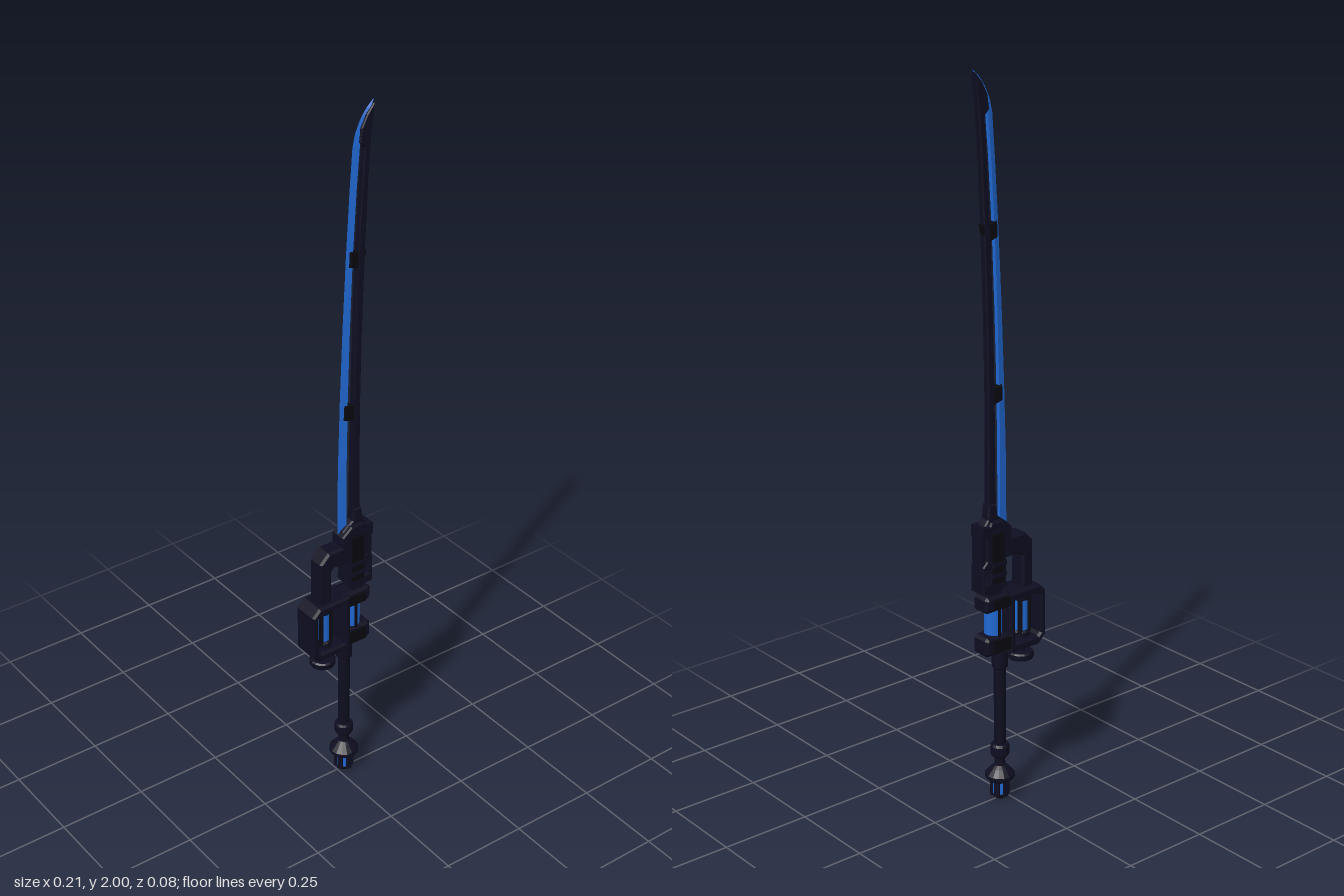
import * as THREE from 'three';

const dark = new THREE.MeshStandardMaterial({ name: 'dark navy metal', color: 0x0d0d20 });
const black = new THREE.MeshStandardMaterial({ name: 'black metal', color: 0x08080f });
const blue = new THREE.MeshStandardMaterial({ name: 'glowing blue', color: 0x2068d2 });
for (const m of [dark, black, blue]) m.flatShading = true;

export function createModel() {
  const model = new THREE.Group();
  model.name = 'sword';

  const add = (name, geo, mat, x = 0, y = 0, z = 0) => {
    const mesh = new THREE.Mesh(geo, mat);
    mesh.name = name;
    mesh.position.set(x, y, z);
    model.add(mesh);
    return mesh;
  };
  // box given by its x range, y range and full depth
  const box = (name, x0, x1, y0, y1, depth, mat = dark, z = 0) =>
    add(name, new THREE.BoxGeometry(x1 - x0, y1 - y0, depth), mat, (x0 + x1) / 2, (y0 + y1) / 2, z);
  const vec = (pts) => pts.map(([x, y]) => new THREE.Vector2(x, y));
  // outline in the xy plane with a chamfered extrusion centred on z
  const plate = (name, pts, depth, mat = dark, hole = null, bevel = 0.004) => {
    const shape = new THREE.Shape(vec(pts));
    if (hole) shape.holes.push(new THREE.Path(vec(hole)));
    const geo = new THREE.ExtrudeGeometry(shape, {
      depth: depth - 2 * bevel, bevelEnabled: bevel > 0, bevelThickness: bevel,
      bevelSize: bevel, bevelOffset: -bevel, bevelSegments: 1,
    });
    geo.translate(0, 0, bevel - depth / 2);
    return add(name, geo, mat);
  };
  const turned = (name, pts, x, mat = dark, sides = 16) =>
    add(name, new THREE.LatheGeometry(vec(pts), sides), mat, x);

  // cutting edge: wedge sections [edge x, back x, y], sharp on the edge side
  const sections = [[0.0, 0.026, 0.78], [0.002, 0.026, 1.0], [0.008, 0.029, 1.2], [0.016, 0.035, 1.4],
    [0.026, 0.043, 1.6], [0.037, 0.054, 1.78], [0.045, 0.063, 1.89], [0.053, 0.069, 1.925],
    [0.068, 0.081, 1.957], [0.086, 0.096, 1.982], [0.106, 0.1065, 2.0]];
  const pos = [], idx = [];
  sections.forEach(([e, b, y], i) => {
    const t = i === sections.length - 1 ? 0.001 : 0.006;
    pos.push(e, y, 0, b, y, t, b, y, -t);
    if (i === 0) return;
    const p = (i - 1) * 3, q = i * 3;
    for (let k = 0; k < 3; k++) {
      const n = (k + 1) % 3;
      idx.push(p + k, p + n, q + n, p + k, q + n, q + k);
    }
  });
  const last = (sections.length - 1) * 3;
  idx.push(0, 2, 1, last, last + 1, last + 2);
  const edge = new THREE.BufferGeometry();
  edge.setAttribute('position', new THREE.Float32BufferAttribute(pos, 3));
  edge.setIndex(idx);
  const edgeFlat = edge.toNonIndexed();
  edgeFlat.computeVertexNormals();
  add('cuttingEdge', edgeFlat, blue);

  // dark spine, running into the solid point
  plate('spine', [[0.041, 0.8], [0.07, 0.8], [0.067, 1.0], [0.068, 1.2], [0.072, 1.4], [0.079, 1.6],
    [0.088, 1.8], [0.095, 1.9], [0.104, 1.994], [0.082, 1.968], [0.066, 1.937], [0.061, 1.9], [0.076, 1.885],
    [0.07, 1.8], [0.058, 1.6], [0.051, 1.4], [0.046, 1.2], [0.043, 1.0]], 0.02, dark, null, 0.003);

  // bridges joining edge and spine
  for (const [x, y] of [[0.018, 1.165], [0.034, 1.595]]) {
    plate('bladeBridge', [[x, y - 0.018], [x + 0.04, y - 0.03], [x + 0.05, y + 0.02], [x + 0.03, y + 0.02],
      [x + 0.002, y + 0.024]], 0.018, black, null, 0.002);
  }

  // blade collar and upper guard
  plate('bladeCollar', [[0.004, 0.77], [0.09, 0.77], [0.09, 0.81], [0.074, 0.83], [0.07, 0.87],
    [0.045, 0.87], [0.04, 0.835], [0.008, 0.81]], 0.03);
  plate('upperGuard', [[0.0, 0.715], [0.085, 0.715], [0.085, 0.8], [0.07, 0.825], [0.03, 0.825], [0.0, 0.8]], 0.05);
  plate('lowerGuard', [[0.02, 0.64], [0.035, 0.628], [0.1, 0.628], [0.1, 0.705], [0.085, 0.72], [0.02, 0.72]],
    0.052, dark, [[0.074, 0.655], [0.09, 0.655], [0.09, 0.695], [0.074, 0.695]], 0.003);
  box('guardBackRail', 0.09, 0.1, 0.69, 0.815, 0.04);
  box('guardRailCap', 0.075, 0.1, 0.782, 0.815, 0.05);
  for (const s of [-1, 1]) box('guardSidePanel', 0.03, 0.068, 0.65, 0.79, 0.006, black, s * 0.026);
  for (const y of [0.645, 0.675, 0.705]) box('guardRib', 0.024, 0.07, y - 0.006, y + 0.006, 0.062);
  box('guardNeck', 0.035, 0.075, 0.605, 0.64, 0.04);

  // arm bending from the guard down to the side frame
  plate('sideArm', [[0.02, 0.715], [0.02, 0.77], [-0.045, 0.77], [-0.073, 0.742], [-0.073, 0.6],
    [-0.035, 0.6], [-0.035, 0.705], [-0.025, 0.715]], 0.05, dark, null, 0.006);

  // side frame: a deep chamfered ring
  plate('sideFrame', [[-0.085, 0.44], [0.018, 0.44], [0.018, 0.615], [-0.085, 0.615], [-0.108, 0.592], [-0.108, 0.463]],
    0.078, dark, [[-0.08, 0.466], [-0.002, 0.466], [-0.002, 0.592], [-0.08, 0.592], [-0.088, 0.584], [-0.088, 0.474]], 0.006);

  // energy cell inside the frame, with a blue core and dark bars
  const cellX = -0.05;
  turned('cellCore', [[0, 0.46], [0.02, 0.46], [0.02, 0.595], [0, 0.595]], cellX, blue);
  for (const [a, b] of [[0.46, 0.485], [0.572, 0.598]])
    turned('cellCap', [[0, a], [0.022, a], [0.026, a + 0.005], [0.026, b - 0.005], [0.022, b], [0, b]], cellX, dark, 12);
  for (let i = 0; i < 4; i++) {
    const a = Math.PI / 4 + i * Math.PI / 2;
    const bar = add('cellBar', new THREE.BoxGeometry(0.012, 0.1, 0.012), black,
      cellX + 0.021 * Math.cos(a), 0.528, 0.021 * Math.sin(a));
    bar.rotation.y = -a;
  }
  // rod and foot under the frame
  turned('cellRod', [[0, 0.4], [0.012, 0.4], [0.012, 0.46], [0, 0.46]], cellX, dark, 12);
  turned('cellFoot', [[0, 0.4], [0.034, 0.4], [0.036, 0.404], [0.036, 0.416], [0.032, 0.42], [0, 0.42]], cellX);

  // main chamber between two clamp blocks
  turned('chamberCore', [[0, 0.48], [0.024, 0.48], [0.024, 0.59], [0, 0.59]], 0.047, blue);
  for (const [a, b] of [[0.445, 0.5], [0.57, 0.617]]) {
    plate('chamberClamp', [[0.0, a], [0.085, a], [0.093, a + 0.008], [0.093, b - 0.008], [0.085, b], [0.0, b]], 0.058, dark, null, 0.008);
    box('clampBand', 0.01, 0.07, a + 0.01, b - 0.01, 0.074, black);
  }
  for (const s of [-1, 1]) box('chamberBar', 0.041, 0.049, 0.49, 0.58, 0.005, black, s * 0.024);

  // grip with end rings
  const gripX = 0.023;
  turned('grip', [[0, 0.12], [0.016, 0.12], [0.017, 0.39], [0.022, 0.395], [0.022, 0.45], [0, 0.45]], gripX);
  turned('gripRing', [[0, 0.128], [0.022, 0.128], [0.026, 0.134], [0.026, 0.158], [0.022, 0.165], [0, 0.165]], gripX);

  // pommel: flared cap and a blue core held by dark ribs
  turned('pommelCap', [[0, 0.054], [0.03, 0.054], [0.041, 0.064], [0.041, 0.074], [0.025, 0.092],
    [0.015, 0.1], [0.014, 0.125], [0, 0.125]], gripX);
  turned('pommelCore', [[0, 0.006], [0.015, 0.006], [0.022, 0.016], [0.022, 0.06], [0, 0.06]], gripX, blue);
  turned('pommelTip', [[0, 0], [0.014, 0], [0.022, 0.009], [0.022, 0.014], [0, 0.014]], gripX, black);
  for (let i = 0; i < 6; i++) {
    const a = Math.PI / 6 + i * Math.PI / 3;
    const rib = add('pommelRib', new THREE.BoxGeometry(0.01, 0.05, 0.014), dark,
      gripX + 0.022 * Math.cos(a), 0.035, 0.022 * Math.sin(a));
    rib.rotation.y = -a;
  }
  return model;
}
